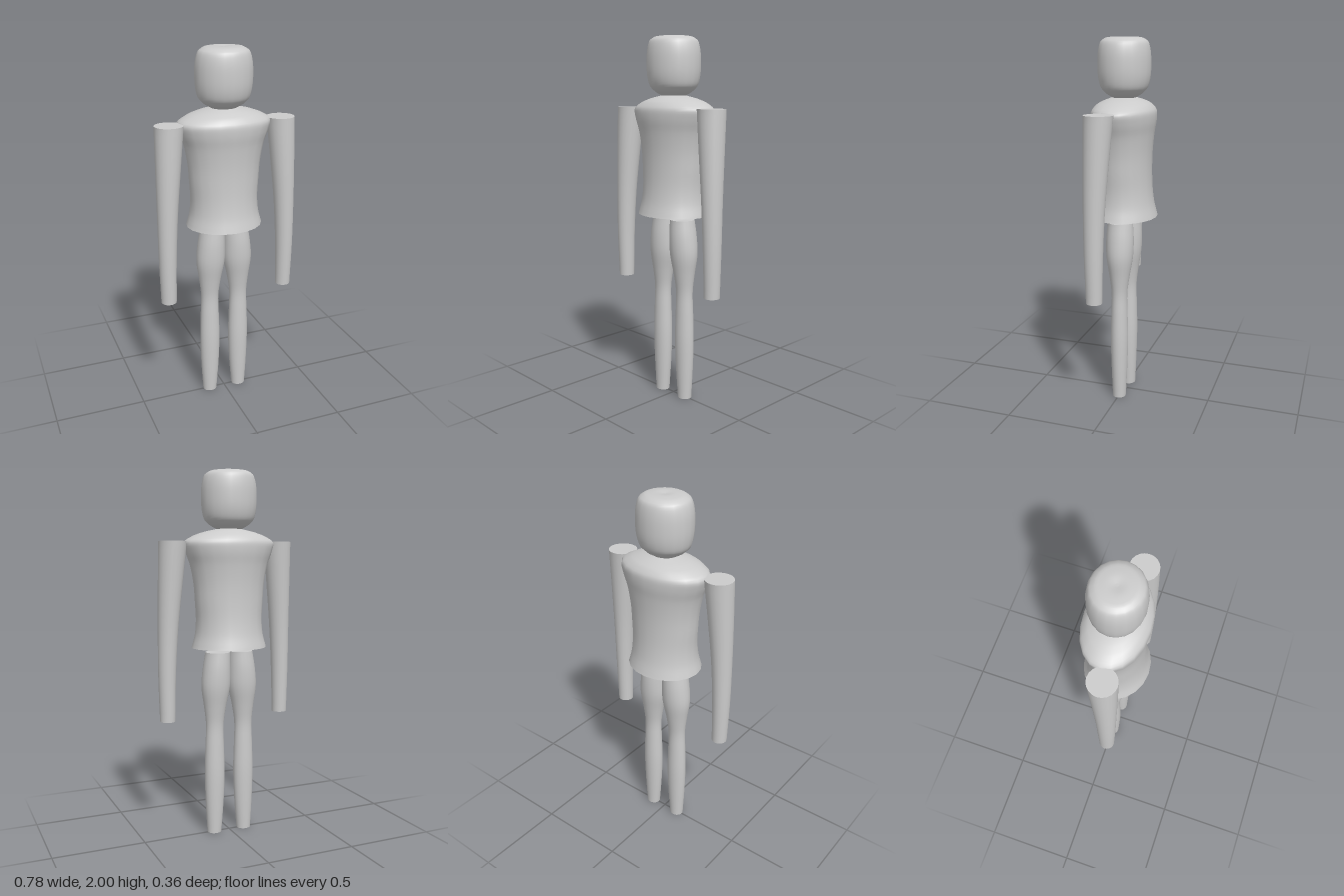
import * as THREE from 'three';

const SIDES = 20;
const material = new THREE.MeshStandardMaterial({ color: 0xcccccc });

// Smooth elliptical loft through rings [y, centreX, centreZ, radiusX, radiusZ], listed bottom to top
function loft(name, rings, steps, mirror = 1) {
  const centres = new THREE.CatmullRomCurve3(rings.map(([y, x, z]) => new THREE.Vector3(x * mirror, y, z)));
  const radii = new THREE.CatmullRomCurve3(rings.map(([y, , , rx, rz]) => new THREE.Vector3(rx, y, rz)));
  const positions = [], index = [];

  const addRing = (t) => {
    const c = centres.getPoint(t), r = radii.getPoint(t);
    for (let i = 0; i < SIDES; i++) {
      const a = (i / SIDES) * Math.PI * 2;
      positions.push(c.x + r.x * Math.sin(a), c.y, c.z + r.z * Math.cos(a));
    }
  };

  // Side wall
  for (let j = 0; j <= steps; j++) addRing(j / steps);
  for (let j = 0; j < steps; j++) {
    for (let i = 0; i < SIDES; i++) {
      const k = (i + 1) % SIDES;
      const a = j * SIDES + i, b = j * SIDES + k;
      index.push(a, b, b + SIDES, a, b + SIDES, a + SIDES);
    }
  }

  // Flat end caps with their own vertices, so the rims stay sharp
  for (const t of [0, 1]) {
    const start = positions.length / 3;
    addRing(t);
    for (let i = 1; i < SIDES - 1; i++) {
      if (t) index.push(start, start + i, start + i + 1);
      else index.push(start, start + i + 1, start + i);
    }
  }

  const geometry = new THREE.BufferGeometry();
  geometry.setAttribute('position', new THREE.Float32BufferAttribute(positions, 3));
  geometry.setIndex(index);
  geometry.computeVertexNormals();
  const mesh = new THREE.Mesh(geometry, material);
  mesh.name = name;
  return mesh;
}

export function createModel() {
  const model = new THREE.Group();
  model.name = 'figure';

  // Rounded block head with a slight dimple on the crown
  model.add(loft('head', [
    [1.685, 0, 0, 0.06, 0.055],
    [1.71, 0, 0, 0.105, 0.095],
    [1.74, 0, 0, 0.135, 0.122],
    [1.79, 0, 0, 0.148, 0.136],
    [1.86, 0, 0, 0.152, 0.14],
    [1.93, 0, 0, 0.147, 0.136],
    [1.975, 0, 0, 0.132, 0.124],
    [1.995, 0, 0, 0.1, 0.095],
    [2.0, 0, 0, 0.05, 0.048],
    [1.996, 0, 0, 0.008, 0.008],
  ], 36));

  // Torso flaring at the hem and shoulders
  model.add(loft('torso', [
    [1.05, 0, 0, 0.21, 0.181],
    [1.12, 0, 0, 0.192, 0.163],
    [1.2, 0, 0, 0.186, 0.152],
    [1.3, 0, 0, 0.192, 0.147],
    [1.4, 0, 0, 0.2, 0.148],
    [1.5, 0, 0, 0.22, 0.156],
    [1.57, 0, 0, 0.246, 0.166],
    [1.62, 0, 0, 0.255, 0.165],
    [1.655, 0, 0, 0.2, 0.14],
    [1.675, 0, 0, 0.14, 0.105],
    [1.69, 0, 0, 0.07, 0.065],
  ], 40));

  for (const side of [1, -1]) {
    const label = side > 0 ? 'left' : 'right';

    // Tapered arm, leaning slightly outwards and forwards
    model.add(loft(label + 'Arm', [
      [0.65, 0.343, 0.053, 0.042, 0.043],
      [0.9, 0.343, 0.054, 0.048, 0.05],
      [1.15, 0.336, 0.051, 0.055, 0.057],
      [1.4, 0.323, 0.043, 0.066, 0.067],
      [1.625, 0.31, 0.033, 0.076, 0.076],
    ], 20, side));

    // Leg with full thigh, narrow knee and calf
    model.add(loft(label + 'Leg', [
      [0, 0.09, 0, 0.04, 0.037],
      [0.18, 0.088, 0, 0.052, 0.044],
      [0.35, 0.087, 0, 0.057, 0.048],
      [0.5, 0.087, 0, 0.053, 0.045],
      [0.62, 0.086, 0, 0.05, 0.043],
      [0.72, 0.084, 0, 0.062, 0.055],
      [0.83, 0.08, 0, 0.08, 0.072],
      [0.93, 0.075, 0, 0.077, 0.075],
      [1.025, 0.068, 0, 0.068, 0.068],
    ], 32, side));
  }
  return model;
}
